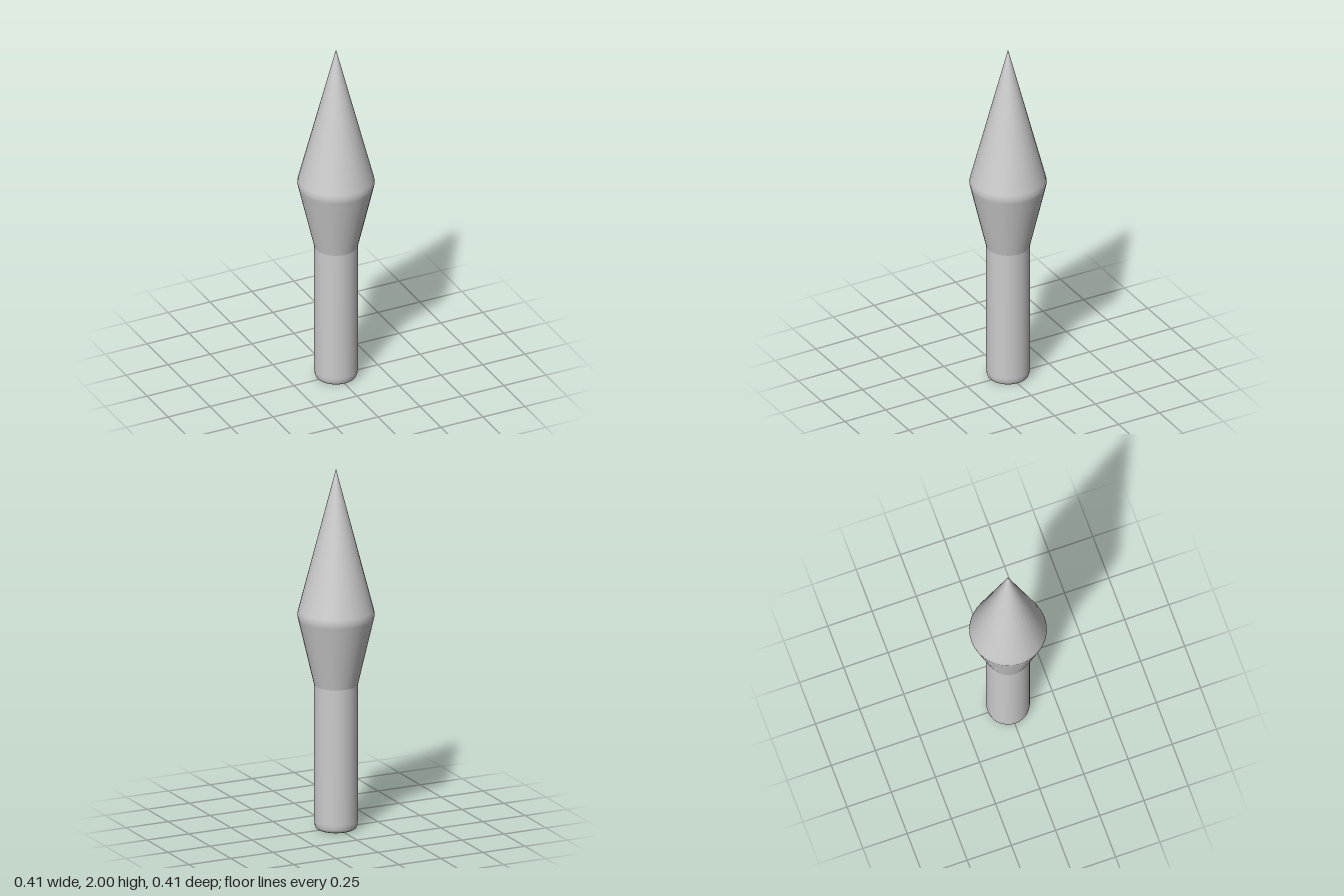
import * as THREE from 'three';

const SIDES = 32;

// Smooth turned part from [radius, height] pairs, listed from bottom to top
function turned(name, profile, material) {
  const points = profile.map(([r, y]) => new THREE.Vector2(r, y));
  const mesh = new THREE.Mesh(new THREE.LatheGeometry(points, SIDES), material);
  mesh.name = name;
  return mesh;
}

export function createModel() {
  const group = new THREE.Group();
  group.name = 'spike';
  const material = new THREE.MeshStandardMaterial({ color: 0xcccccc });

  // Round shaft with a closed, softly bevelled foot
  group.add(turned('shaft', [
    [0, 0], [0.1, 0], [0.108, 0.005], [0.114, 0.02], [0.117, 0.045], [0.117, 0.8],
  ], material));

  // Head: flares out from the shaft, then tapers to a point
  group.add(turned('head', [
    [0.117, 0.8], [0.202, 1.165], [0.207, 1.19], [0.202, 1.215], [0, 2],
  ], material));

  return group;
}
